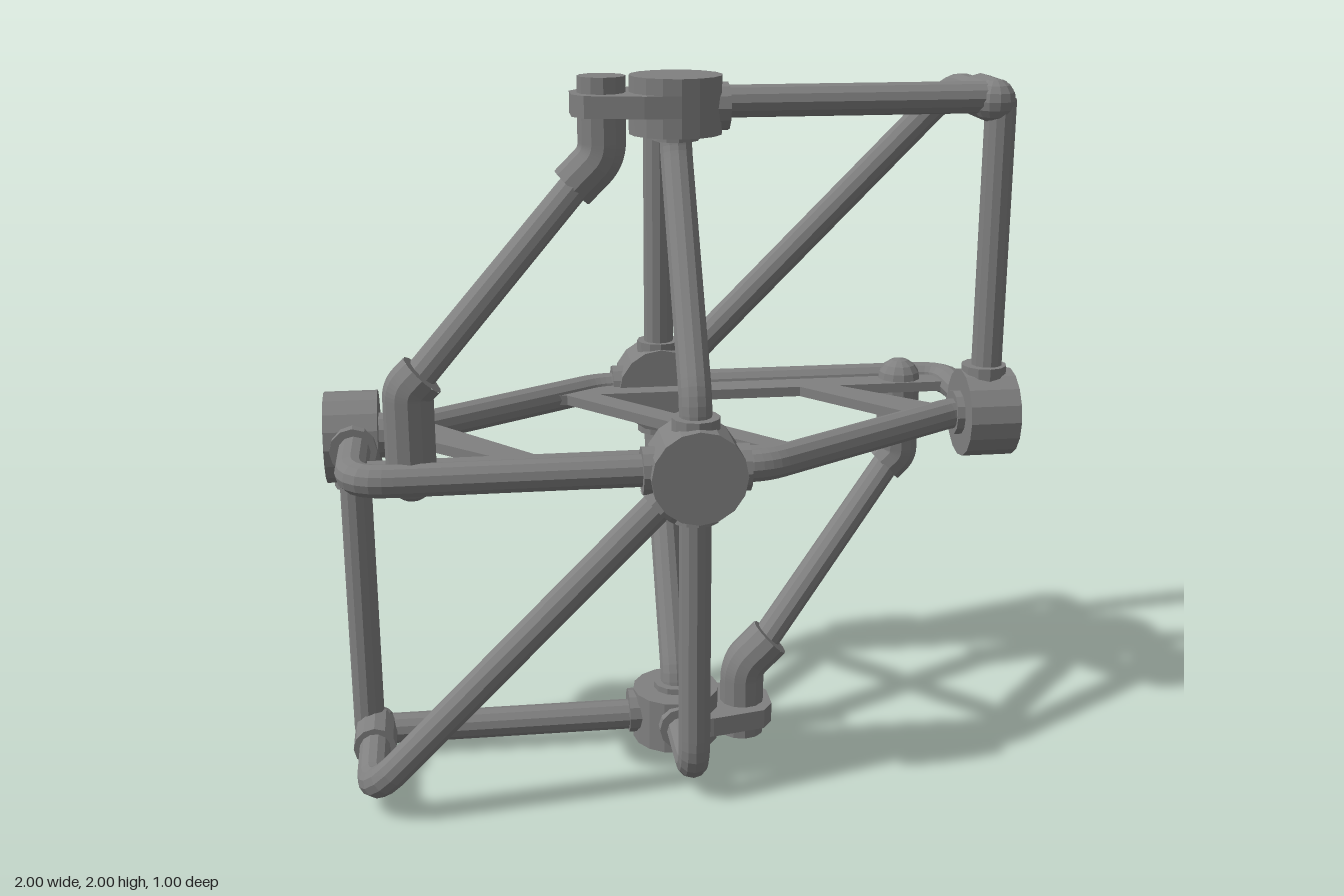
import * as THREE from 'three';
import { mergeGeometries } from 'three/addons/utils/BufferGeometryUtils.js';

const mat = new THREE.MeshStandardMaterial({ color: 0x808080, flatShading: true });
const UP = new THREE.Vector3(0, 1, 0);
const R = 0.045, SLEEVE = 0.067, SIDES = 12;

export function createModel() {
  const group = new THREE.Group();
  const frame = new THREE.Group();
  frame.name = 'frame';
  frame.position.y = 1;
  group.add(frame);

  const add = (name, geo) => {
    const m = new THREE.Mesh(geo, mat);
    m.name = name;
    frame.add(m);
    return m;
  };

  // closed cylinder between two points
  const rod = (name, a, b, r, sides = SIDES) => {
    const d = b.clone().sub(a);
    const m = add(name, new THREE.CylinderGeometry(r, r, d.length(), sides));
    m.position.copy(a).addScaledVector(d, 0.5);
    m.quaternion.setFromUnitVectors(UP, d.normalize());
  };

  // tube through points with rounded corners and flat end caps
  const pipe = (name, pts, r, bend) => {
    const path = new THREE.CurvePath();
    let from = pts[0];
    for (let i = 1; i < pts.length - 1; i++) {
      const toward = (p) => pts[i].clone().addScaledVector(p.clone().sub(pts[i]).normalize(), bend);
      const a = toward(pts[i - 1]), b = toward(pts[i + 1]);
      path.add(new THREE.LineCurve3(from, a));
      path.add(new THREE.QuadraticBezierCurve3(a, pts[i], b));
      from = b;
    }
    path.add(new THREE.LineCurve3(from, pts[pts.length - 1]));
    const parts = [new THREE.TubeGeometry(path, 48, r, SIDES)];
    for (const t of [0, 1]) {
      const dir = path.getTangentAt(t).multiplyScalar(t ? 1 : -1);
      const cap = new THREE.CircleGeometry(r, SIDES);
      cap.applyQuaternion(new THREE.Quaternion().setFromUnitVectors(new THREE.Vector3(0, 0, 1), dir));
      const p = path.getPointAt(t);
      cap.translate(p.x, p.y, p.z);
      parts.push(cap);
    }
    add(name, mergeGeometries(parts));
  };

  const ball = (name, p, r) => add(name, new THREE.SphereGeometry(r, 12, 8)).position.copy(p);

  // thin horizontal slab from an outline in x, z
  const slab = (name, outline, thick, s) => {
    const shape = new THREE.Shape(outline.map(([x, z]) => new THREE.Vector2(s * x, s * z)));
    const geo = new THREE.ExtrudeGeometry(shape, { depth: thick, bevelEnabled: false });
    geo.rotateX(Math.PI / 2);
    geo.translate(0, thick / 2, 0);
    return add(name, geo);
  };

  // every part repeats through the centre point: s = 1, then s = -1
  for (const s of [1, -1]) {
    const V = (x, y, z) => new THREE.Vector3(x, y, z).multiplyScalar(s);

    // hubs with collars where the tubes enter
    const hub = (name, inner, outer, collars) => {
      rod(name, inner, outer, 0.13, 16);
      const c = inner.clone().lerp(outer, 0.45);
      for (const d of collars) rod(name + 'Collar', c, c.clone().add(d), 0.066);
    };
    const k = 0.146;
    hub('verticalHub', V(0, 0.84, 0), V(0, 1, 0), [V(k, 0, 0), V(0, 0, -k), V(0, -0.09, 0)]);
    hub('sideHub', V(0.85, 0, 0), V(1, 0, 0), [V(0, k, 0), V(0, 0, -k), V(-0.09, 0, 0)]);
    hub('depthHub', V(0, 0, -0.335), V(0, 0, -0.5),
      [V(k, 0, 0), V(-k, 0, 0), V(0, k, 0), V(0, -k, 0), V(0.103, 0.103, 0)]);

    // square corner tubes from vertical hub to side hub
    rod('cornerRail', V(0, 0.925, 0), V(0.92, 0.925, 0), R);
    rod('cornerPost', V(0.925, 0, 0), V(0.925, 0.92, 0), R);
    ball('cornerBall', V(0.905, 0.915, 0), 0.062);
    rod('cornerSleeve', V(0.905, 0.915, 0), V(0.905, 0.915, -0.14), 0.062);

    // bent tubes
    pipe('diagonalTube', [V(0, 0, -0.405), V(0.905, 0.915, -0.405), V(0.905, 0.915, 0)], R, 0.11);
    pipe('uprightLoop', [V(0, 0, -0.405), V(0, 0.918, -0.405), V(0, 0.918, 0)], R, 0.1);
    pipe('levelLoop', [V(0, 0, -0.405), V(0.915, 0, -0.405), V(0.915, 0, 0)], R, 0.1);

    // slanted braces
    pipe('levelBrace', [V(0, 0, 0.405), V(0.19, 0, 0.405), V(0.83, 0, 0), V(0.93, 0, 0)], R, 0.05);
    pipe('uprightBrace', [V(0, 0, 0.405), V(0, 0.19, 0.405), V(0, 0.81, 0), V(0, 0.93, 0)], R, 0.05);

    // cranked link: each thick elbow bends in its own upright plane, the tube crosses between
    const low = V(-0.755, -0.01, 0.345), lowEnd = V(-0.715, 0.27, 0.345);
    const highEnd = V(-0.29, 0.695, 0), high = V(-0.205, 1, 0);
    pipe('lowerElbow', [low, V(-0.755, 0.23, 0.345), lowEnd], SLEEVE, 0.02);
    ball('elbowBall', low, SLEEVE);
    pipe('upperElbow', [highEnd, V(-0.205, 0.78, 0), high], SLEEVE, 0.04);
    rod('linkTube', V(-0.745, 0.24, 0.345), V(-0.26, 0.725, 0), 0.043);

    // clamp joining the link to the vertical hub
    const half = [[0, 0.13], [-0.1, 0.125], [-0.26, 0.09], [-0.29, 0.045]];
    const clamp = slab('linkClamp', [...half, ...half.map(([x, z]) => [x, -z]).reverse()], 0.06, s);
    clamp.position.y = s * 0.925;

    // deck plate and its diagonal strut
    slab('deckPlate', [[-0.18, -0.405], [0.91, -0.405], [0.91, -0.275], [-0.39, -0.275]], 0.03, s);
    slab('deckStrut', [[0.42, -0.28], [0.54, -0.28], [0.84, 0], [0.72, 0.07]], 0.03, s);
  }

  // strut across the middle of the deck
  slab('middleStrut', [[-0.3, -0.28], [-0.2, -0.28], [0.3, 0.28], [0.2, 0.28]], 0.03, 1);
  return group;
}
